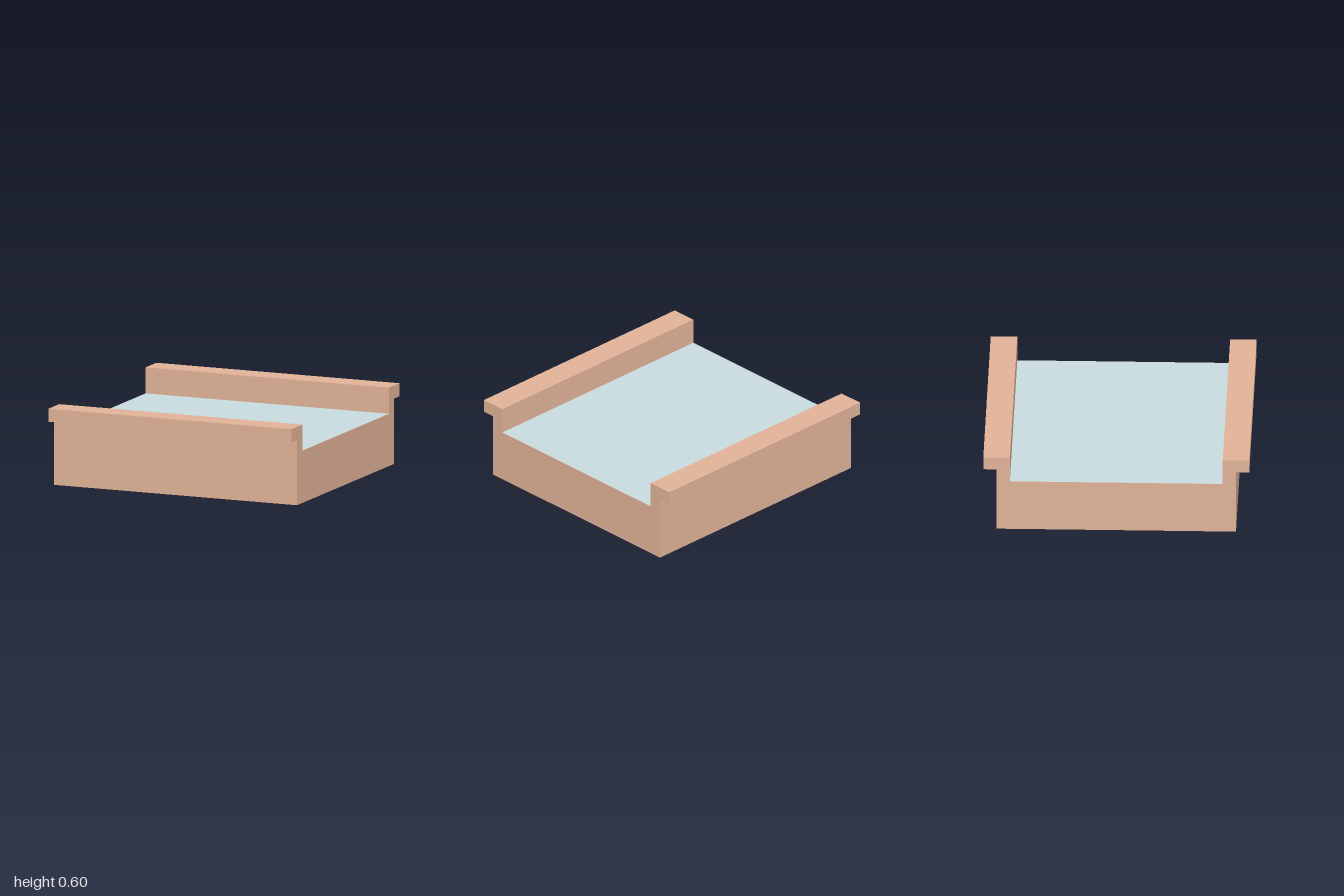
import * as THREE from 'three';

export function createModel() {
  const clay = new THREE.MeshStandardMaterial({ name: 'clay', color: 0xe0b297 });
  const paleStone = new THREE.MeshStandardMaterial({ name: 'paleStone', color: 0xc8dbdf });

  const model = new THREE.Group();
  model.name = 'channelTile';

  // Half of the cross-section (z, y), mirrored to make the whole outline
  const half = [[0.9, 0], [0.9, 0.5], [1, 0.5], [1, 0.6], [0.8, 0.6], [0.8, 0.4]];
  const mirrored = half.map(([z, y]) => [-z, y]).reverse();
  const outline = new THREE.Shape([...half, ...mirrored].map(([z, y]) => new THREE.Vector2(z, y)));

  // Base block with the two lipped edges, extruded along x
  const bodyGeometry = new THREE.ExtrudeGeometry(outline, { depth: 2, bevelEnabled: false });
  bodyGeometry.translate(0, 0, -1).rotateY(Math.PI / 2);
  const body = new THREE.Mesh(bodyGeometry, clay);
  body.name = 'baseWithLips';
  model.add(body);

  // Paved floor between the lips
  const floorGeometry = new THREE.PlaneGeometry(2, 1.6).rotateX(-Math.PI / 2);
  const floor = new THREE.Mesh(floorGeometry, paleStone);
  floor.name = 'floor';
  floor.position.y = 0.401;
  model.add(floor);

  return model;
}
